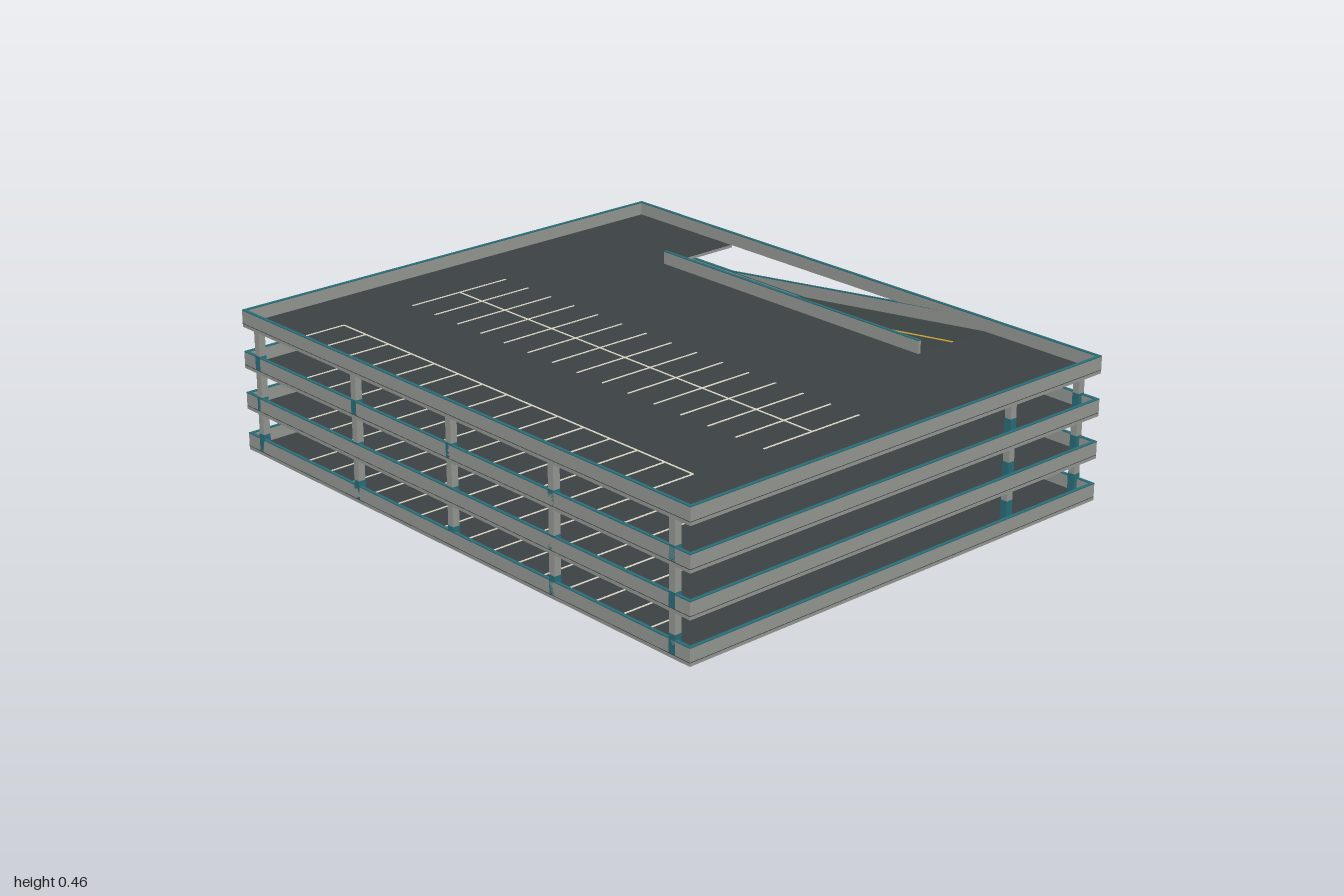
import * as THREE from 'three';

const material = (name, color) => Object.assign(new THREE.MeshStandardMaterial({ color }), { name });
const concrete = material('concrete', 0x969a94);
const asphalt = material('asphalt', 0x3c4344);
const teal = material('teal trim', 0x2a6f7a);
const cream = material('stall paint', 0xdcd8c8);
const yellow = material('lane paint', 0xdcaa3c);

const W = 0.81, D = 1;                 // half width and half depth
const STEP = 0.1335;                   // storey height
const SLAB = 0.012, RAIL = 0.043, CAP = 0.003, T = 0.01;
const RX = 0.51, RZ = 0.556;           // ramp opening: inner x, half length

function add(parent, name, geometry, mat) {
  const mesh = new THREE.Mesh(geometry, mat);
  mesh.name = name;
  parent.add(mesh);
  return mesh;
}

// Box given by its limits
function box(parent, name, mat, x0, x1, y0, y1, z0, z1) {
  const g = new THREE.BoxGeometry(x1 - x0, y1 - y0, z1 - z0);
  g.translate((x0 + x1) / 2, (y0 + y1) / 2, (z0 + z1) / 2);
  return add(parent, name, g, mat);
}

// Wall with a teal strip along its top
function wall(parent, name, x0, x1, y, z0, z1) {
  const top = y + RAIL;
  box(parent, name, concrete, x0, x1, y, top - CAP, z0, z1);
  box(parent, name + 'Cap', teal, x0, x1, top - CAP, top, z0, z1);
}

// Floor plate, with a notch for the ramp on the left side
function plate(parent, name, mat, y, height, notched) {
  const points = [[-W, -D], [W, -D]];
  if (notched) points.push([W, -RZ], [RX, -RZ], [RX, RZ], [W, RZ]);
  points.push([W, D], [-W, D]);
  const shape = new THREE.Shape(points.map(p => new THREE.Vector2(...p)));
  const g = new THREE.ExtrudeGeometry(shape, { depth: height, bevelEnabled: false });
  g.rotateX(-Math.PI / 2).translate(0, y, 0);
  add(parent, name, g, mat);
}

// Sloping bar following the ramp, between heights a and b above its surface
function sloped(parent, name, mat, x0, x1, floor, a, b) {
  const shape = new THREE.Shape([
    new THREE.Vector2(-RZ, floor + a), new THREE.Vector2(RZ, floor + STEP + a),
    new THREE.Vector2(RZ, floor + STEP + b), new THREE.Vector2(-RZ, floor + b),
  ]);
  const g = new THREE.ExtrudeGeometry(shape, { depth: x1 - x0, bevelEnabled: false });
  g.rotateY(-Math.PI / 2).translate(x1, 0, 0);
  add(parent, name, g, mat);
}

function parapets(parent, level, y) {
  for (const s of [-1, 1]) {
    const x = s * (W - T / 2), z = s * (D - T / 2);
    wall(parent, 'sideParapet', x - T / 2, x + T / 2, y, -D, D);
    if (level === 0 && s < 0) {
      // vehicle entrance at the back of the ground floor
      wall(parent, 'backParapet', -W + T, -0.63, y, z - T / 2, z + T / 2);
      wall(parent, 'backParapet', -0.33, W - T, y, z - T / 2, z + T / 2);
    } else {
      wall(parent, s > 0 ? 'frontParapet' : 'backParapet', -W + T, W - T, y, z - T / 2, z + T / 2);
    }
  }
}

function stalls(parent, y) {
  const pitch = 0.111, end = 7 * pitch, h = 0.0015, w = 0.003;
  for (const [x0, x1, spine] of [[-0.78, -0.595, -0.595], [-0.335, 0.035, -0.15]]) {
    box(parent, 'stallSpine', cream, spine - w, spine + w, y, y + h, -end, end);
    for (let i = -7; i <= 7; i++) {
      box(parent, 'stallLine', cream, x0, x1, y, y + h, i * pitch - w, i * pitch + w);
    }
  }
}

function columns(parent, floor, ceiling, bandTop) {
  const full = [-0.93, -0.445, 0, 0.445, 0.93];
  const rows = [
    [-0.798, full], [-0.15, [-0.72, -0.28, 0.17, 0.615]],
    [0.5, full], [0.798, [-0.93, 0.93]],
  ];
  const r = 0.0115, b = 0.012;
  for (const [x, zs] of rows) {
    for (const z of zs) {
      box(parent, 'column', concrete, x - r, x + r, floor, ceiling, z - r, z + r);
      box(parent, 'columnBand', teal, x - b, x + b, floor, bandTop, z - b, z + b);
    }
  }
}

function ramp(parent, floor) {
  sloped(parent, 'rampSlab', concrete, RX, W - 0.001, floor, -SLAB, -0.002);
  sloped(parent, 'rampSurface', asphalt, RX, W - 0.001, floor, -0.002, 0);
  sloped(parent, 'rampCentreLine', yellow, 0.656, 0.664, floor, 0, 0.0015);
  for (const x of [RX + 0.001, W - T]) {
    sloped(parent, 'rampGuard', concrete, x, x + 0.008, floor, 0, RAIL - CAP);
    sloped(parent, 'rampGuardCap', teal, x, x + 0.008, floor, RAIL - CAP, RAIL);
  }
}

export function createModel() {
  const model = new THREE.Group();
  model.name = 'parkingGarage';
  for (let level = 0; level < 4; level++) {
    const storey = new THREE.Group();
    storey.name = 'storey' + level;
    model.add(storey);
    const base = level * STEP, floor = base + SLAB;
    plate(storey, 'floorSlab', concrete, base, SLAB - 0.002, level > 0);
    plate(storey, 'floorSurface', asphalt, floor - 0.002, 0.002, level > 0);
    parapets(storey, level, floor);
    stalls(storey, floor);
    // guard beside the ramp opening
    if (level > 0) wall(storey, 'openingGuard', RX, RX + T, floor, -RZ, RZ);
    if (level < 3) {
      columns(storey, floor, base + STEP, base + (level === 0 ? 0.07 : 0.058));
      ramp(storey, floor);
    }
  }
  return model;
}
